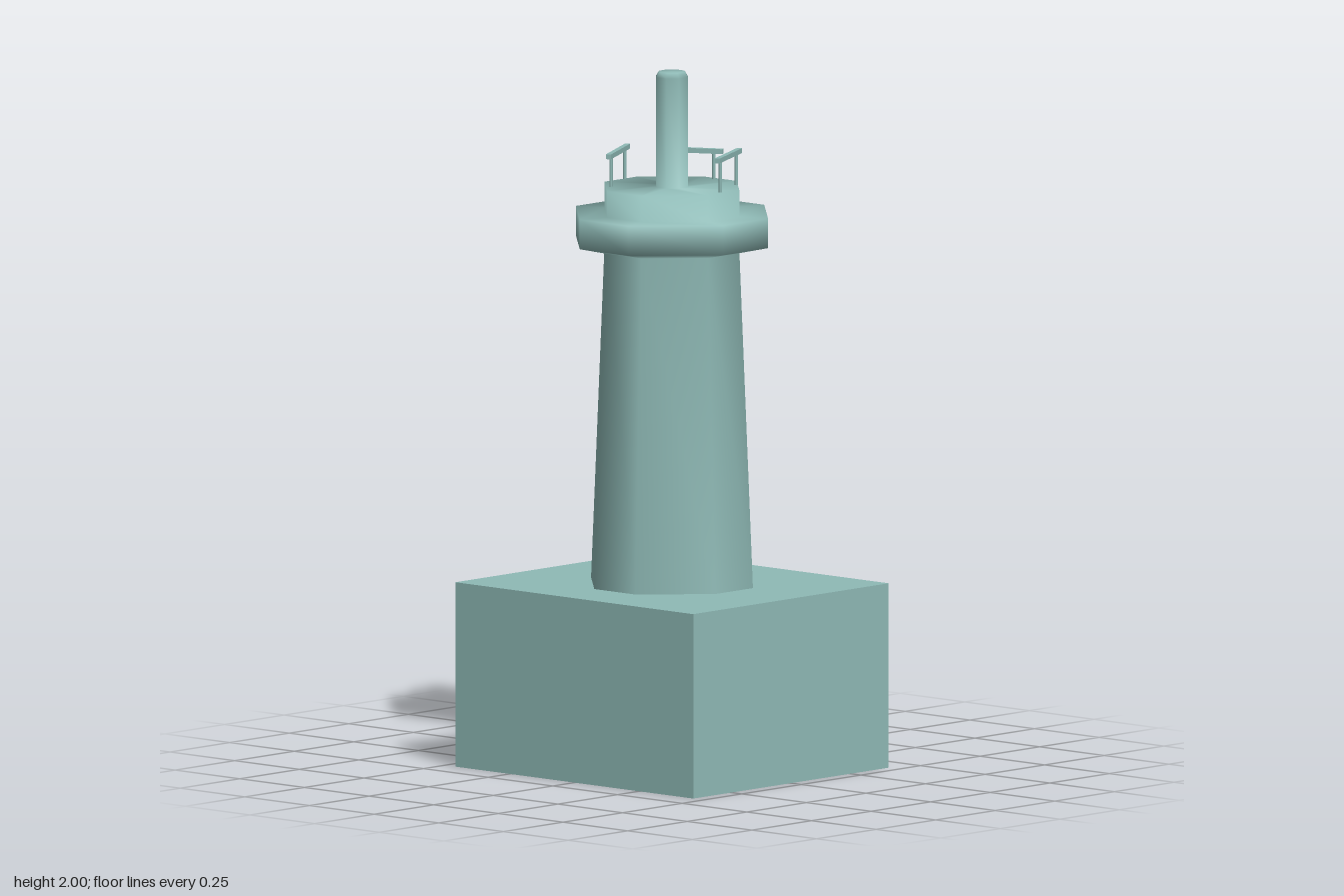
import * as THREE from 'three';
import { mergeVertices } from 'three/addons/utils/BufferGeometryUtils.js';

const material = new THREE.MeshStandardMaterial({ color: 0x8fbab6 });

function add(parent, geometry, name) {
  const mesh = new THREE.Mesh(geometry, material);
  mesh.name = name;
  parent.add(mesh);
  return mesh;
}

// Corners of an octagon with narrow straight sides; r is the half width
function octagon(r, k = 0.33) {
  return [[1, k], [k, 1], [-k, 1], [-1, k], [-1, -k], [-k, -1], [k, -1], [1, -k]]
    .map(([x, y]) => new THREE.Vector2(x * r, y * r));
}

// Smooth eight-sided turned shape, reshaped to the same octagon
function turned(profile) {
  const geometry = new THREE.LatheGeometry(
    profile.map(([r, y]) => new THREE.Vector2(r, y)), 8, Math.PI / 8);
  const p = geometry.attributes.position;
  for (let i = 0; i < p.count; i++) {
    const x = p.getX(i), z = p.getZ(i), r = Math.hypot(x, z);
    const k = r < 0.1 ? 0.42 : 0.33;
    const wide = Math.abs(x) > Math.abs(z);
    p.setX(i, Math.sign(x) * r * (wide ? 1 : k));
    p.setZ(i, Math.sign(z) * r * (wide ? k : 1));
  }
  geometry.deleteAttribute('uv');
  geometry.deleteAttribute('normal');
  const merged = mergeVertices(geometry, 1e-5);
  merged.computeVertexNormals();
  return merged;
}

// Straight rail on two posts
function railing(x1, z1, x2, z2, y) {
  const group = new THREE.Group();
  group.name = 'railing';
  const length = Math.hypot(x2 - x1, z2 - z1);
  const bar = add(group, new THREE.BoxGeometry(length, 0.014, 0.015), 'handrail');
  bar.position.set((x1 + x2) / 2, y, (z1 + z2) / 2);
  bar.rotation.y = -Math.atan2(z2 - z1, x2 - x1);
  for (const t of [0.14, 0.86]) {
    const height = y - 1.66;
    const post = add(group, new THREE.CylinderGeometry(0.005, 0.005, height, 8), 'railingPost');
    post.position.set(x1 + (x2 - x1) * t, 1.66 + height / 2, z1 + (z2 - z1) * t);
  }
  return group;
}

export function createModel() {
  const model = new THREE.Group();
  model.name = 'tower';

  // Rectangular plinth with an octagonal recess underneath
  const outline = new THREE.Shape([
    new THREE.Vector2(-0.46, -0.41), new THREE.Vector2(0.46, -0.41),
    new THREE.Vector2(0.46, 0.41), new THREE.Vector2(-0.46, 0.41)]);
  outline.holes.push(new THREE.Path(octagon(0.24).reverse()));
  const block = new THREE.ExtrudeGeometry(outline, { depth: 0.53, bevelEnabled: false });
  block.rotateX(-Math.PI / 2);
  add(model, block, 'plinth');

  const ceiling = new THREE.ShapeGeometry(new THREE.Shape(octagon(0.24)));
  ceiling.rotateX(Math.PI / 2);
  add(model, ceiling, 'recessCeiling').position.y = 0.07;

  // Tapered shaft, gallery collar, deck and mast in one smooth skin
  add(model, turned([
    [0.24, 0.53], [0.2, 1.49], [0.285, 1.51], [0.285, 1.595],
    [0.2, 1.595], [0.2, 1.67], [0.045, 1.67],
    [0.045, 1.985], [0.036, 2], [0, 2],
  ]), 'shaftAndMast');

  // Three railings around the deck
  model.add(railing(-0.153, -0.112, 0.015, -0.197, 1.75));
  model.add(railing(0.107, -0.167, 0.198, 0.025, 1.765));
  model.add(railing(-0.209, -0.04, -0.106, 0.152, 1.76));

  return model;
}
